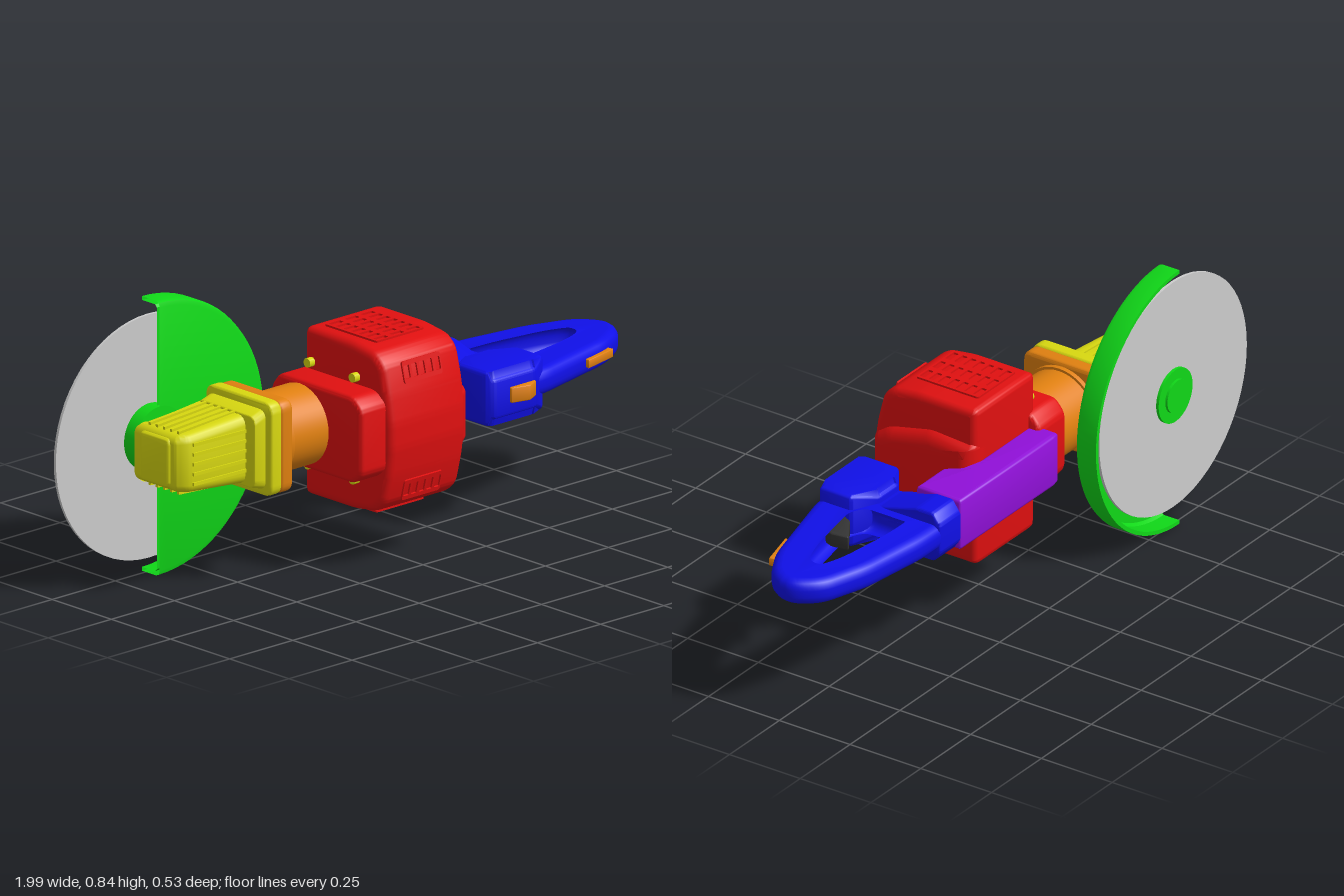
import * as THREE from 'three';
import { toCreasedNormals } from 'three/addons/utils/BufferGeometryUtils.js';

const CY = 0.42; // height of the tool's axis
const paint = (color) => new THREE.MeshStandardMaterial({ color, side: THREE.DoubleSide });
const RED = paint(0xe01010), GREEN = paint(0x10d818), BLUE = paint(0x1010e8), PURPLE = paint(0x9010d8);
const YELLOW = paint(0xd8d810), ORANGE = paint(0xe08010), GREY = paint(0xcccccc), DARK = paint(0x333333);

// Closed outline with rounded corners
function outline(pts, r = 0.01, target = new THREE.Shape()) {
  const v = pts.map(([x, y]) => new THREE.Vector2(x, y));
  v.forEach((p, i) => {
    const a = v[(i + v.length - 1) % v.length], b = v[(i + 1) % v.length];
    const start = p.clone().lerp(a, Math.min(0.5, r / p.distanceTo(a)));
    const end = p.clone().lerp(b, Math.min(0.5, r / p.distanceTo(b)));
    if (i) target.lineTo(start.x, start.y); else target.moveTo(start.x, start.y);
    target.quadraticCurveTo(p.x, p.y, end.x, end.y);
  });
  target.closePath();
  return target;
}

// Extrude to an exact total depth with the bevel kept inside the outline
function slab(shape, depth, bevel) {
  return new THREE.ExtrudeGeometry(shape, {
    depth: depth - 2 * bevel, bevelEnabled: bevel > 0, bevelSize: bevel, bevelThickness: bevel,
    bevelOffset: -bevel, bevelSegments: 4, curveSegments: 6,
  }).translate(0, 0, bevel);
}

// Outline in (x, z), filled from y0 to y1
const flip = (pts) => pts.map(([x, z]) => [x, -z]);
function plan(pts, y0, y1, bevel, r = 0.01, hole = null) {
  const shape = outline(flip(pts), r);
  if (hole) shape.holes.push(outline(flip(hole), r, new THREE.Path()));
  return slab(shape, y1 - y0, bevel).rotateX(-Math.PI / 2).translate(0, y0, 0);
}

// Outline in (z, y), filled from x0 to x1
function section(pts, x0, x1, bevel, r = 0.01) {
  const shape = outline(pts.map(([z, y]) => [-z, y]), r);
  return slab(shape, x1 - x0, bevel).rotateY(Math.PI / 2).translate(x0, 0, 0);
}
const rect = (a0, b0, a1, b1) => [[a0, b0], [a1, b0], [a1, b1], [a0, b1]];
const mirrored = (half) => [...half, ...half.map(([z, y]) => [z, 2 * CY - y]).reverse()];

// Change the y thickness about the axis by a rule of position
function taper(geo, rule) {
  const p = geo.attributes.position;
  for (let i = 0; i < p.count; i++) p.setY(i, CY + (p.getY(i) - CY) * rule(p.getX(i), p.getZ(i)));
  return geo;
}

// Raised panel with rows of slots cut through it
function grille(w, h, cols, rows) {
  const shape = outline(rect(-w / 2, -h / 2, w / 2, h / 2), 0.008);
  const cw = w / cols, rh = h / rows;
  for (let c = 0; c < cols; c++) for (let r = 0; r < rows; r++) {
    const x = -w / 2 + cw * c, y = -h / 2 + rh * r;
    shape.holes.push(outline(rect(x + cw * 0.15, y + rh * 0.2, x + cw * 0.85, y + rh * 0.8), 0.004, new THREE.Path()));
  }
  return new THREE.ExtrudeGeometry(shape, { depth: 0.006, bevelEnabled: false, curveSegments: 3 });
}

export function createModel() {
  const model = new THREE.Group();
  const add = (name, geo, mat, x = 0, y = 0, z = 0) => {
    const mesh = new THREE.Mesh(toCreasedNormals(geo, 0.6), mat);
    mesh.name = name;
    mesh.position.set(x, y, z);
    model.add(mesh);
    return mesh;
  };
  const zDisc = (r, z0, z1) => new THREE.CylinderGeometry(r, r, z1 - z0, 64)
    .rotateX(Math.PI / 2).translate(-0.63, CY, (z0 + z1) / 2);
  const xRod = (r, x0, x1) => new THREE.CylinderGeometry(r, r, x1 - x0, 40).rotateZ(Math.PI / 2).translate((x0 + x1) / 2, 0, 0);

  // Cutting disc and its clamp
  add('cuttingDisc', zDisc(0.37, -0.243, -0.234), GREY);
  add('innerFlange', zDisc(0.1, -0.236, -0.19), GREEN);
  add('spindleNeck', zDisc(0.058, -0.2, -0.15), GREEN);
  add('outerFlange', zDisc(0.085, -0.252, -0.24), GREEN);
  add('clampNut', zDisc(0.052, -0.26, -0.25), GREEN);

  // Half-round guard, open at the back
  const rim = [[0, -0.19], [0.4, -0.19], [0.413, -0.194], [0.418, -0.206], [0.418, -0.265],
    [0.406, -0.265], [0.406, -0.21], [0.398, -0.202], [0, -0.202]].map(([r, h]) => new THREE.Vector2(r, h));
  add('discGuard', new THREE.LatheGeometry(rim, 40, 0, Math.PI).rotateX(Math.PI / 2), GREEN, -0.63, CY);

  // Gearbox, tapering towards the tip
  const body = plan([[-0.765, -0.16], [-0.46, -0.16], [-0.46, 0.07], [-0.51, 0.055], [-0.73, 0.045], [-0.765, 0.02]],
    0.315, 0.525, 0.03, 0.015);
  add('gearbox', taper(body, (x) => 0.82 + 0.18 * Math.min(1, (x + 0.765) / 0.25)), YELLOW);
  for (let i = 0; i < 5; i++) {
    const front = add('gearboxFrontRib', new THREE.BoxGeometry(0.22, 0.01, 0.02), YELLOW, -0.61, CY + (i - 2) * 0.03, 0.045);
    front.rotation.y = -0.045;
  }
  for (const s of [1, -1]) for (let i = 0; i < 5; i++) {
    const rib = add('gearboxSideRib', new THREE.BoxGeometry(0.24, 0.02, 0.009), YELLOW, -0.62, CY + s * 0.093, -0.115 + i * 0.03);
    rib.rotation.z = s * 0.06;
  }
  add('gearboxTip', section(rect(-0.13, 0.345, 0.0, 0.495), -0.772, -0.73, 0.012, 0.02), YELLOW);
  add('gearboxCollar', taper(section(rect(-0.15, 0.295, 0.095, 0.545), -0.52, -0.46, 0.005, 0.03),
    (x) => (x < -0.49 ? 0.88 : 1)), YELLOW);
  add('gearboxFlange', section(rect(-0.16, 0.28, 0.12, 0.565), -0.478, -0.435, 0.008, 0.035), YELLOW);

  // Motor tube
  add('motorFlange', section(rect(-0.157, 0.28, 0.12, 0.562), -0.44, -0.39, 0.012, 0.035), ORANGE);
  add('motorTube', xRod(0.122, -0.42, -0.22), ORANGE, 0, CY, -0.02);
  add('motorTubeRing', xRod(0.13, -0.405, -0.375), ORANGE, 0, CY, -0.02);

  // Motor housing: wide middle with a narrower neck and end bulge
  add('motorHousing', section(mirrored([[-0.105, 0.165], [0.1, 0.165], [0.19, 0.178], [0.227, 0.21], [0.25, 0.3], [0.262, 0.38]]),
    -0.14, 0.165, 0.025, 0.02), RED);
  add('housingNeck', section(mirrored([[-0.145, 0.33], [-0.11, 0.288], [0.2, 0.288], [0.24, 0.32]]), -0.235, -0.1, 0.015, 0.02), RED);
  add('housingBulge', section(mirrored([[-0.105, 0.275], [0.05, 0.265], [0.2, 0.3], [0.255, 0.34]]), 0.06, 0.19, 0.045, 0.02), RED);
  for (const s of [1, -1]) {
    const flat = add('flatVent', grille(0.19, 0.22, 3, 7), RED, 0, CY + s * 0.255, 0.045);
    flat.rotation.x = -s * Math.PI / 2;
    const face = add('frontVent', grille(0.15, 0.065, 5, 1), RED, 0.005, CY + s * 0.178, 0.236);
    face.rotation.x = -s * 0.25;
    for (const z of [-0.07, 0.12]) add('housingScrew', xRod(0.014, -0.16, -0.13), YELLOW, 0, CY + s * 0.155, z);
  }

  // Mounting arm behind the housing
  add('mountingArm', plan([[-0.13, -0.19], [-0.1, -0.197], [0.37, -0.197], [0.37, -0.04], [0.235, -0.04],
    [0.185, -0.1], [-0.13, -0.1]], 0.34, 0.505, 0.012, 0.008), PURPLE);

  // Handle loop
  add('handleLoop', plan(
    [[0.36, -0.195], [0.55, -0.193], [0.78, -0.162], [0.93, -0.112], [0.985, -0.045], [0.988, 0.01],
      [0.95, 0.067], [0.85, 0.122], [0.54, 0.2], [0.36, 0.2]],
    0.381, 0.462, 0.03, 0.04,
    [[0.47, -0.125], [0.6, -0.122], [0.78, -0.098], [0.865, -0.07], [0.885, -0.035], [0.875, 0.015],
      [0.83, 0.045], [0.75, 0.068], [0.54, 0.105], [0.47, 0.06]]), BLUE);
  // Rear mount narrows to a waist where it meets the switch block
  add('handleMount', taper(section(mirrored([[-0.195, 0.375], [-0.17, 0.34], [-0.11, 0.34], [0.02, 0.378], [0.08, 0.378]]),
    0.35, 0.47, 0.01), () => 1), BLUE);
  add('switchBlock', taper(plan([[0.3, 0.07], [0.36, 0.03], [0.45, 0.03], [0.537, 0.075], [0.537, 0.185], [0.48, 0.212],
    [0.32, 0.212], [0.3, 0.19]], 0.338, 0.505, 0.015),
    (x, z) => (z > 0.2 ? 0.75 : z < 0.04 ? 0.8 : 1)), BLUE);

  // Controls
  add('trigger', plan([[0.54, 0.1], [0.56, 0.06], [0.645, 0.005], [0.655, 0.06], [0.64, 0.1]], 0.4, 0.445, 0.005, 0.006), DARK);
  add('switchButton', plan([[0.38, 0.2], [0.48, 0.2], [0.48, 0.216], [0.44, 0.236], [0.38, 0.22]], 0.4, 0.447, 0.004, 0.004), ORANGE);
  add('handleStrip', plan([[0.74, 0.13], [0.86, 0.1], [0.865, 0.132], [0.74, 0.162]], 0.41, 0.436, 0.003, 0.003), ORANGE);

  return model;
}
